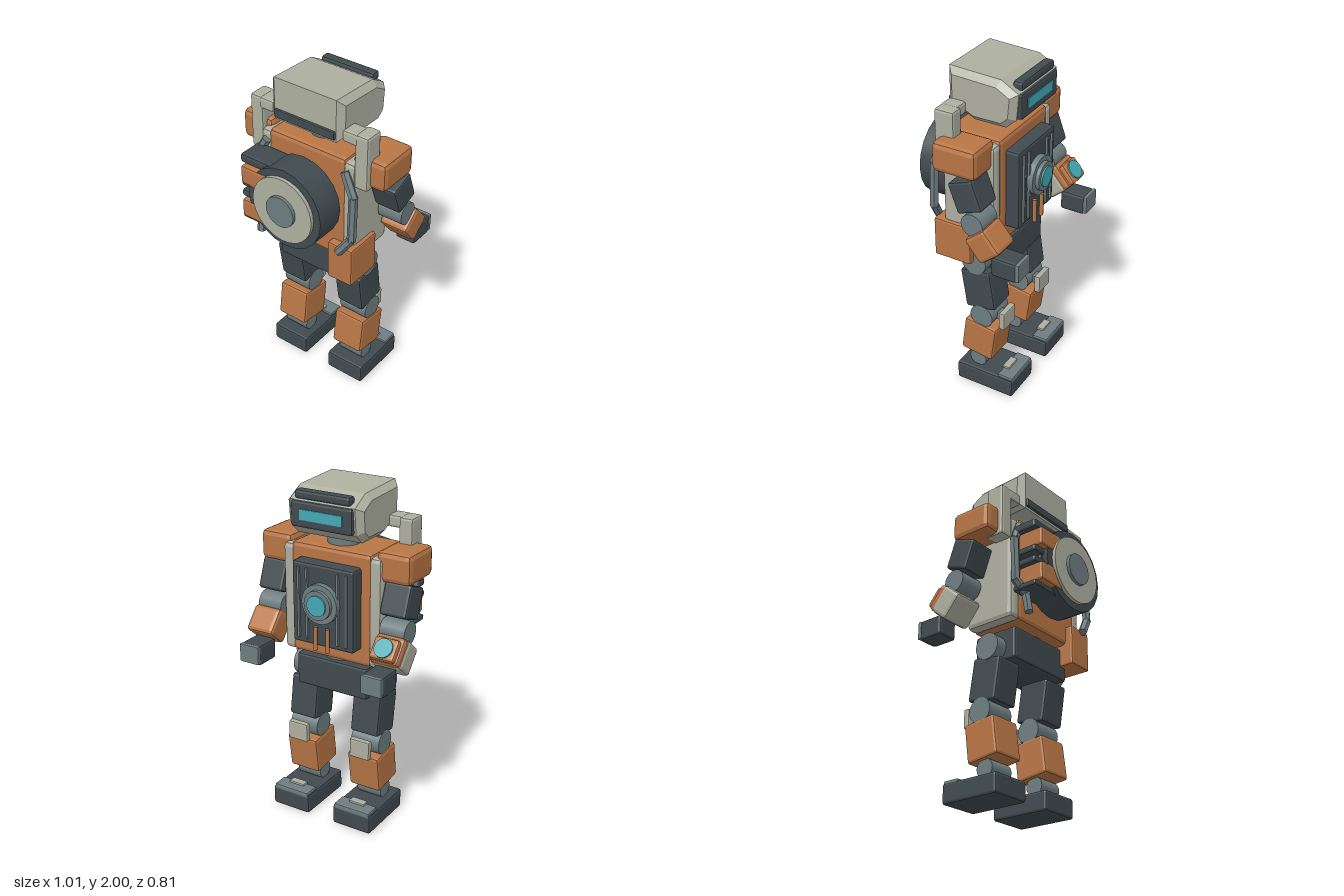
import * as THREE from 'three';
import { RoundedBoxGeometry } from 'three/addons/geometries/RoundedBoxGeometry.js';

const paint = (name, color) => Object.assign(new THREE.MeshStandardMaterial({ color }), { name });

export function createModel() {
  const orange = paint('burnt orange', 0xb87545);
  const dark = paint('dark slate', 0x404a4f);
  const bone = paint('off white', 0xadaf9f);
  const metal = paint('grey metal', 0x6e7d80);
  const teal = paint('teal glow', 0x43a9b6);

  const robot = new THREE.Group();
  robot.name = 'robot';

  const add = (parent, name, geo, mat, [x, y, z] = [0, 0, 0], rx = 0) => {
    const m = new THREE.Mesh(geo, mat);
    m.name = name;
    m.position.set(x, y, z);
    m.rotation.x = rx;
    parent.add(m);
    return m;
  };

  // Box with single flat chamfers on its edges
  const block = (w, h, d, r = 0.015) => {
    const g = new RoundedBoxGeometry(w, h, d, 1, Math.min(r, w / 3, h / 3, d / 3));
    g.computeVertexNormals();
    return g;
  };
  const box = (parent, name, mat, size, pos, rx = 0, r) =>
    add(parent, name, block(...size, r), mat, pos, rx);
  // Box given by its x, y and z ranges
  const span = (parent, name, mat, [x0, x1], [y0, y1], [z0, z1], r) =>
    box(parent, name, mat, [x1 - x0, y1 - y0, z1 - z0], [(x0 + x1) / 2, (y0 + y1) / 2, (z0 + z1) / 2], 0, r);

  const drumX = (r, len, seg = 20) => new THREE.CylinderGeometry(r, r, len, seg).rotateZ(Math.PI / 2);
  const drumZ = (r, len, seg = 24) => new THREE.CylinderGeometry(r, r, len, seg).rotateX(Math.PI / 2);

  const group = (name, parent = robot) => {
    const g = new THREE.Group();
    g.name = name;
    parent.add(g);
    return g;
  };

  // Head: side profile (z, y) extruded across x with chamfered cheeks
  const head = group('head');
  const profile = [[0.175, 2], [-0.14, 1.985], [-0.245, 1.925], [-0.232, 1.775],
    [-0.17, 1.72], [0.02, 1.72], [0.07, 1.745], [0.175, 1.75]];
  const bevel = 0.035;
  const skull = new THREE.ExtrudeGeometry(
    new THREE.Shape(profile.map(([z, y]) => new THREE.Vector2(z, y))),
    { depth: 0.48 - 2 * bevel, bevelEnabled: true, bevelSegments: 1, bevelSize: bevel, bevelThickness: bevel, bevelOffset: -bevel });
  skull.translate(0, 0, -(0.24 - bevel)).rotateY(-Math.PI / 2);
  // Bring the outline bevel's flat sides out without touching the silhouette
  add(head, 'helmet', skull, bone);
  span(head, 'rear strap', dark, [-0.2, 0.2], [1.765, 1.815], [0.16, 0.19], 0.006);
  span(head, 'visor frame', dark, [-0.195, 0.195], [1.775, 1.925], [-0.26, -0.18]);
  span(head, 'visor brow', dark, [-0.175, 0.175], [1.93, 1.982], [-0.25, -0.19]);
  span(head, 'visor glass', teal, [-0.135, 0.135], [1.82, 1.88], [-0.265, -0.257], 0.002);
  add(robot, 'neck', new THREE.CylinderGeometry(0.095, 0.095, 0.12, 20), metal, [0, 1.68, -0.02]);

  // Torso
  const torso = group('torso');
  span(torso, 'torso core', orange, [-0.26, 0.26], [1.0, 1.66], [-0.168, 0.168], 0.025);
  span(torso, 'chest plate', dark, [-0.2, 0.2], [1.1, 1.58], [-0.25, -0.15]);
  add(torso, 'reactor ring', drumZ(0.115, 0.04), metal, [0, 1.365, -0.265]);
  add(torso, 'reactor bezel', drumZ(0.085, 0.025), metal, [0, 1.365, -0.295]);
  add(torso, 'reactor core', drumZ(0.06, 0.02), teal, [0, 1.365, -0.307]);
  for (const s of [-1, 1]) {
    span(torso, 'side plate', bone, s > 0 ? [0.235, 0.32] : [-0.32, -0.235], [1.0, 1.645], [-0.165, 0.165], 0.03);
    for (const x of [0.1, 0.155])
      box(torso, 'chest rib', metal, [0.015, 0.42, 0.02], [s * x, 1.34, -0.253], 0, 0.004);
    add(torso, 'chest pin', new THREE.CylinderGeometry(0.012, 0.012, 0.14, 10), orange, [s * 0.04, 1.15, -0.262]);
    // Harness posts beside the head
    box(torso, 'harness post', bone, [0.085, 0.33, 0.12], [s * 0.352, 1.665, 0.097]);
    box(torso, 'harness bridge', bone, [0.1, 0.07, 0.105], [s * 0.28, 1.795, 0.107]);
  }

  // Back drum with its feed stack
  const pack = group('back drum');
  add(pack, 'drum mount', drumZ(0.2, 0.06), dark, [0, 1.345, 0.18]);
  add(pack, 'drum body', drumZ(0.248, 0.175, 20), dark, [0, 1.345, 0.277]);
  add(pack, 'drum cover', drumZ(0.202, 0.04, 32), bone, [0, 1.345, 0.366]);
  add(pack, 'drum hub', drumZ(0.095, 0.04), metal, [0, 1.345, 0.385]);
  span(pack, 'feed core', dark, [-0.26, -0.05], [1.15, 1.54], [0.17, 0.33]);
  for (const y of [1.452, 1.23])
    box(pack, 'feed band', orange, [0.23, 0.115, 0.17], [-0.185, y, 0.285]);
  for (const [y, h] of [[1.535, 0.055], [1.155, 0.035]])
    box(pack, 'feed cap', dark, [0.225, h, 0.16], [-0.212, y, 0.26]);
  for (const y of [1.375, 1.305])
    box(pack, 'feed catch', dark, [0.1, 0.045, 0.15], [-0.275, y, 0.265]);

  // Bent six-sided hoses either side of the drum
  const hose = (points) => {
    const p = points.map(a => new THREE.Vector3(...a));
    for (let i = 1; i < p.length; i++) {
      const dir = p[i].clone().sub(p[i - 1]);
      const g = new THREE.CylinderGeometry(0.026, 0.026, dir.length() + 0.015, 6).toNonIndexed();
      g.computeVertexNormals();
      const m = add(pack, 'hose', g, metal, p[i].clone().add(p[i - 1]).divideScalar(2).toArray());
      m.quaternion.setFromUnitVectors(new THREE.Vector3(0, 1, 0), dir.normalize());
    }
  };
  hose([[0.27, 1.59, 0.18], [0.34, 1.47, 0.2], [0.34, 1.2, 0.21], [0.27, 1.1, 0.23]]);
  hose([[-0.27, 1.59, 0.18], [-0.335, 1.47, 0.2], [-0.335, 1.2, 0.21], [-0.27, 1.13, 0.23], [-0.27, 1.02, 0.25]]);

  // Pelvis
  const hips = group('hips');
  add(hips, 'waist', new THREE.CylinderGeometry(0.12, 0.12, 0.06, 20), metal, [0, 0.99, -0.02]);
  span(hips, 'pelvis', dark, [-0.235, 0.235], [0.79, 0.985], [-0.165, 0.125]);
  span(hips, 'hip pouch', orange, [0.18, 0.345], [0.87, 1.115], [-0.022, 0.215], 0.012);

  for (const s of [-1, 1]) {
    // Arms
    const arm = group(s > 0 ? 'left arm' : 'right arm');
    box(arm, 'shoulder', orange, [0.21, 0.175, 0.27], [s * 0.38, 1.597, -0.01], 0, 0.03);
    box(arm, 'upper arm', dark, [0.165, 0.185, 0.16], [s * 0.403, 1.405, -0.08], 0.36);
    add(arm, 'elbow', drumX(0.068, 0.155), metal, [s * 0.405, 1.245, -0.122]);
    const fore = group('forearm', arm);
    fore.position.set(s * 0.41, 1.135, -0.19);
    fore.rotation.x = 0.7;
    box(fore, 'forearm shell', orange, [0.18, 0.165, 0.16], [0, 0, 0], 0, 0.022);
    if (s < 0) {
      // Outer guard and glowing gauge
      box(fore, 'forearm guard', bone, [0.195, 0.17, 0.14], [0, 0, 0.03], 0, 0.02);
      box(fore, 'gauge housing', orange, [0.15, 0.13, 0.05], [0, -0.01, -0.085], 0, 0.015);
      add(fore, 'gauge', drumZ(0.055, 0.02), teal, [0, -0.01, -0.11]);
    }
    box(arm, 'hand', dark, [0.13, 0.122, 0.155], [s * 0.404, 1.013, -0.308]);
    box(arm, 'knuckles', metal, [0.13, 0.11, 0.025], [s * 0.404, 1.018, -0.392], 0, 0.006);

    // Legs
    const leg = group(s > 0 ? 'left leg' : 'right leg');
    const x = s * 0.213;
    add(leg, 'hip joint', drumX(0.08, 0.19), metal, [x, 0.87, -0.02]);
    box(leg, 'thigh', dark, [0.182, 0.255, 0.195], [x, 0.68, -0.042], 0.15);
    add(leg, 'knee', drumX(0.074, 0.185), metal, [x, 0.5, -0.067]);
    box(leg, 'knee arm', metal, [0.06, 0.05, 0.08], [x, 0.49, -0.14], 0, 0.005);
    box(leg, 'knee pad', bone, [0.13, 0.115, 0.038], [x, 0.487, -0.188], 0, 0.008);
    box(leg, 'shin', orange, [0.205, 0.23, 0.21], [x, 0.328, -0.05], -0.13);
    add(leg, 'ankle', drumX(0.055, 0.16), metal, [x, 0.168, -0.035]);
    box(leg, 'foot', dark, [0.255, 0.12, 0.38], [x, 0.06, -0.105]);
    box(leg, 'toe cap', metal, [0.235, 0.035, 0.1], [x, 0.118, -0.243], 0, 0.008);
    box(leg, 'toe strip', bone, [0.1, 0.02, 0.045], [x, 0.138, -0.21], 0, 0.004);
  }
  return robot;
}
